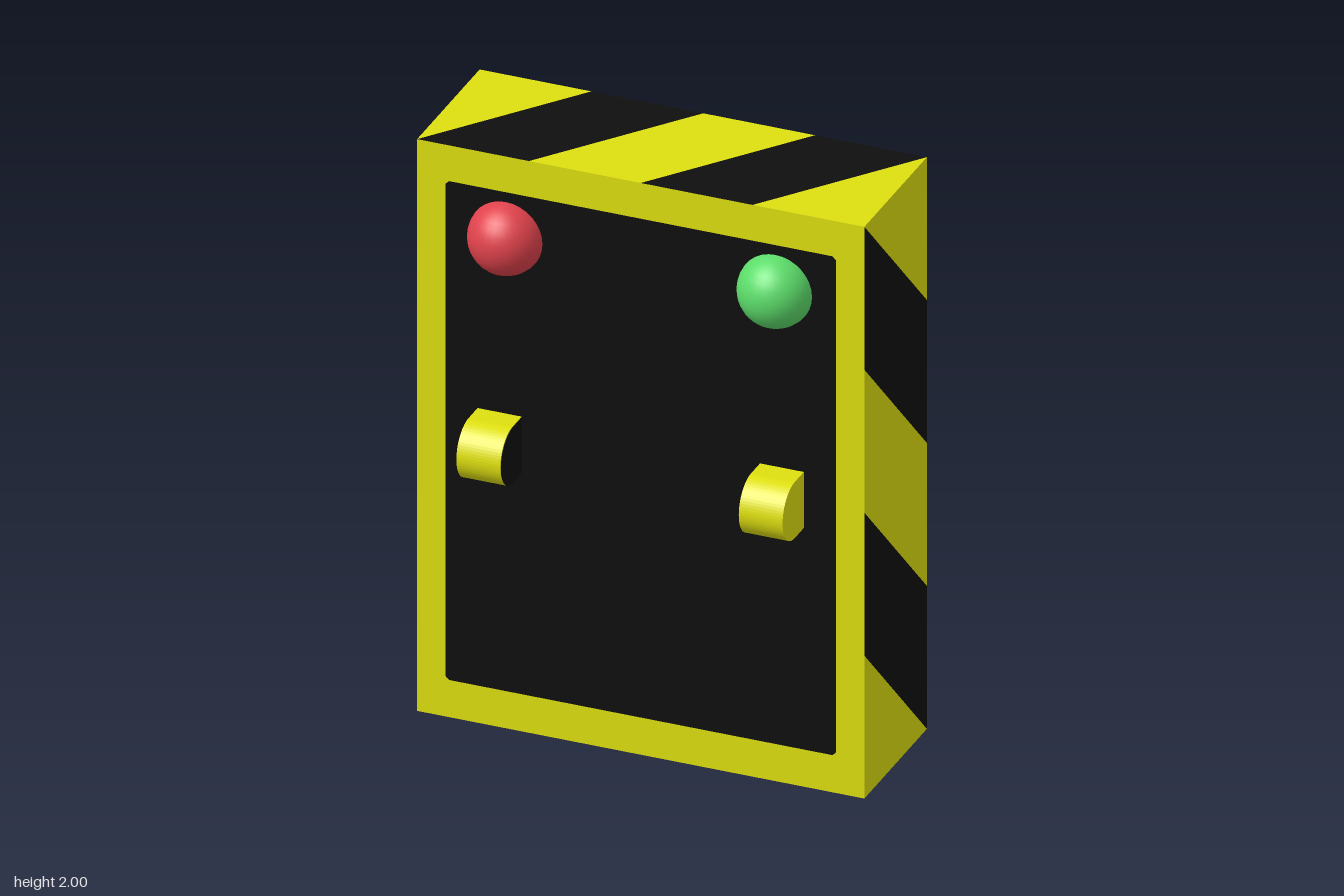
import * as THREE from 'three';

const W = 0.75, H = 2, FRONT = 0.165, BACK = -0.335;

function material(name, color) {
  const m = new THREE.MeshStandardMaterial({ color });
  m.name = name;
  return m;
}

// Rectangle outline with slightly cut corners
function outline(ShapeType, x0, y0, x1, y1, c) {
  return new ShapeType([
    [x0 + c, y0], [x1 - c, y0], [x1, y0 + c], [x1, y1 - c],
    [x1 - c, y1], [x0 + c, y1], [x0, y1 - c], [x0, y0 + c],
  ].map(([x, y]) => new THREE.Vector2(x, y)));
}

// Slanted bands over a rectangular face; group 0 is yellow, group 1 black
function stripedGeometry(corner, along, across) {
  const start = new THREE.Vector3(...corner);
  const a = new THREE.Vector3(...along), b = new THREE.Vector3(...across);
  const point = (k, s) => start.clone()
    .addScaledVector(a, THREE.MathUtils.clamp(k, 0, 4) / 4)
    .addScaledVector(b, s);
  const points = [];
  const geometry = new THREE.BufferGeometry();
  for (let k = -1; k <= 3; k++) {
    const p = point(k, 0), q = point(k + 1, 0), r = point(k + 2, 1), s = point(k + 1, 1);
    const first = points.length;
    if (k >= 0) points.push(p, q, s);
    if (k < 3) points.push(q, r, s);
    geometry.addGroup(first, points.length - first, k % 2 === 0 ? 1 : 0);
  }
  geometry.setFromPoints(points);
  geometry.computeVertexNormals();
  return geometry;
}

export function createModel() {
  const model = new THREE.Group();
  model.name = 'cabinet';

  const yellow = material('yellow', 0xdfe010);
  const black = material('black', 0x0f0f0f);
  const red = material('red', 0xe0424c);
  const green = material('green', 0x5cdc6a);

  const add = (name, geometry, mat, x = 0, y = 0, z = 0) => {
    const mesh = new THREE.Mesh(geometry, mat);
    mesh.name = name;
    mesh.position.set(x, y, z);
    model.add(mesh);
    return mesh;
  };

  // Striped sides: corner, long direction, direction across
  const D = FRONT - BACK;
  const sides = {
    leftSide: [[W, H, FRONT], [0, -H, 0], [0, 0, -D]],
    rightSide: [[-W, H, BACK], [0, -H, 0], [0, 0, D]],
    top: [[-W, H, FRONT], [2 * W, 0, 0], [0, 0, -D]],
    bottom: [[W, 0, FRONT], [-2 * W, 0, 0], [0, 0, -D]],
  };
  for (const [name, args] of Object.entries(sides)) {
    add(name, stripedGeometry(...args), [yellow, black]);
  }

  // Front frame around the dark panel
  const frame = outline(THREE.Shape, -W, 0, W, H, 0);
  frame.holes.push(outline(THREE.Path, -0.655, 0.13, 0.655, 1.875, 0.012));
  add('frontFrame', new THREE.ShapeGeometry(frame), yellow, 0, 0, FRONT);
  const panel = outline(THREE.Shape, -0.655, 0.13, 0.655, 1.875, 0.012);
  add('frontPanel', new THREE.ShapeGeometry(panel), black, 0, 0, FRONT);

  // Plain back
  add('backPanel', new THREE.PlaneGeometry(2 * W, H), black, 0, H / 2, BACK).rotation.y = Math.PI;

  // Domed lamps
  const lamp = new THREE.SphereGeometry(0.123, 32, 16);
  add('redLamp', lamp, red, -0.452, 1.718, 0.16);
  add('greenLamp', lamp, green, 0.452, 1.718, 0.16);

  // Round-nosed handles with dark inner ends
  const R = 0.098, nose = 0.335 - R;
  const handle = new THREE.Shape();
  handle.moveTo(-0.15, -R);
  handle.lineTo(-nose, -R);
  handle.absarc(-nose, 0, R, -Math.PI / 2, -Math.PI * 1.5, true);
  handle.lineTo(-0.15, R);
  handle.closePath();
  const bar = new THREE.ExtrudeGeometry(handle, { depth: 0.147, bevelEnabled: false, curveSegments: 16 });
  bar.rotateY(Math.PI / 2);
  const end = new THREE.ShapeGeometry(handle, 16);
  end.rotateY(Math.PI / 2);
  const endFlipped = new THREE.ShapeGeometry(handle, 16);
  endFlipped.scale(-1, 1, 1);
  endFlipped.rotateY(-Math.PI / 2);
  add('rightHandle', bar, yellow, -0.547, 1.003, 0);
  add('rightHandleInnerEnd', end, black, -0.398, 1.003, 0);
  add('leftHandle', bar, yellow, 0.4, 1.003, 0);
  const inner = add('leftHandleInnerEnd', endFlipped, black, 0.398, 1.003, 0);
  // The mirrored outline reverses its corners, so turn them outward again
  inner.geometry.index.array.reverse();
  inner.geometry.computeVertexNormals();

  return model;
}
